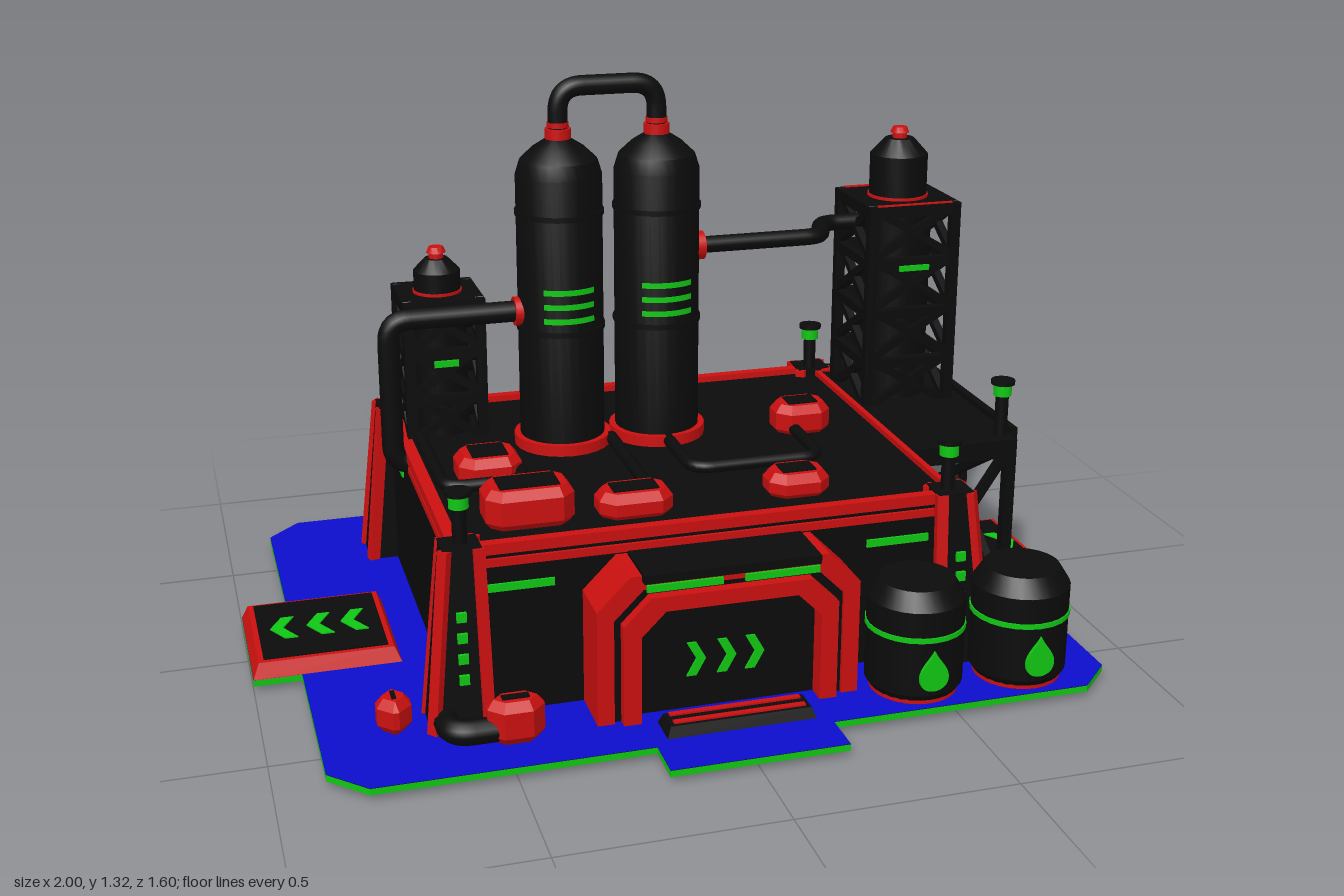
import * as THREE from 'three';
import { toCreasedNormals } from 'three/addons/utils/BufferGeometryUtils.js';

const material = (name, color) => {
  const m = new THREE.MeshStandardMaterial({ color });
  m.name = name;
  return m;
};

export function createModel() {
  const root = new THREE.Group();
  root.name = 'refinery';
  const black = material('black', 0x0b0b0b), red = material('red', 0xcc1010);
  const green = material('green', 0x10c814), blue = material('blue', 0x0c0ccc);
  const V = (x, y, z) => new THREE.Vector3(x, y, z);

  const add = (name, geo, mat, x = 0, y = 0, z = 0, parent = root) => {
    const m = new THREE.Mesh(geo, mat);
    m.name = name;
    m.position.set(x, y, z);
    parent.add(m);
    return m;
  };
  const box = (name, mat, w, h, d, x, y, z, p) => add(name, new THREE.BoxGeometry(w, h, d), mat, x, y, z, p);
  const cyl = (name, mat, r, h, x, y, z) => add(name, new THREE.CylinderGeometry(r, r, h, 24), mat, x, y, z);
  // Box whose top is drawn in by b and shifted sideways
  const taper = (w, h, d, b, sx = 0, sz = 0) => {
    const g = new THREE.BoxGeometry(w, h, d), p = g.attributes.position;
    for (let i = 0; i < p.count; i++) if (p.getY(i) > 0) {
      p.setX(i, p.getX(i) - Math.sign(p.getX(i)) * b + sx);
      p.setZ(i, p.getZ(i) - Math.sign(p.getZ(i)) * b + sz);
    }
    g.computeVertexNormals();
    return g;
  };
  const beam = (name, mat, a, b, t) => {
    const m = box(name, mat, t, t, a.distanceTo(b), 0, 0, 0);
    m.position.copy(a).add(b).multiplyScalar(0.5);
    m.lookAt(b);
    return m;
  };
  // Round pipe through points with rounded bends
  const pipe = (name, pts, r, bend = 0.05) => {
    const path = new THREE.CurvePath();
    let from = pts[0];
    for (let i = 1; i < pts.length - 1; i++) {
      const c = pts[i];
      const a = c.clone().add(pts[i - 1].clone().sub(c).setLength(bend));
      const b = c.clone().add(pts[i + 1].clone().sub(c).setLength(bend));
      path.add(new THREE.LineCurve3(from, a));
      path.add(new THREE.QuadraticBezierCurve3(a, c, b));
      from = b;
    }
    path.add(new THREE.LineCurve3(from, pts[pts.length - 1]));
    return add(name, new THREE.TubeGeometry(path, 60, r, 12), black);
  };
  const lathe = (pts, seg = 28) => toCreasedNormals(
    new THREE.LatheGeometry(pts.map(p => new THREE.Vector2(...p)), seg), 0.5);
  const polygon = pts => new THREE.Shape(pts.map(p => new THREE.Vector2(...p)));
  const extrude = (shape, depth) => new THREE.ExtrudeGeometry(shape, { depth, bevelEnabled: false });

  // Ground plate with chamfered corners and four tabs
  const ground = polygon([[-0.89, 0.62], [-0.81, 0.7], [-0.2, 0.7], [-0.2, 0.8], [0.2, 0.8], [0.2, 0.7], [0.81, 0.7], [0.89, 0.62],
    [0.89, 0.16], [1, 0.16], [1, -0.18], [0.89, -0.18], [0.89, -0.65], [0.81, -0.73], [0.14, -0.73], [0.14, -0.8],
    [-0.15, -0.8], [-0.15, -0.73], [-0.81, -0.73], [-0.89, -0.65], [-0.89, -0.18], [-1, -0.18], [-1, 0.16], [-0.89, 0.16]]
    .map(([x, z]) => [x, -z]));
  add('groundPlate', extrude(ground, 0.015).rotateX(-Math.PI / 2), [black, green], 0, 0.015, 0);
  add('groundSurface', new THREE.ShapeGeometry(ground).rotateX(-Math.PI / 2), blue, 0, 0.031, 0);

  // Landing pads with arrow marks
  const chevron = (h, w = 0.03) => extrude(polygon([[-w, -h], [0, -h], [w, 0], [0, h], [-w, h], [0, 0]]), 0.005);
  const pad = (x, z, len, wid, turn, marks) => {
    const g = new THREE.Group();
    g.name = 'accessPad';
    g.position.set(x, 0.03, z);
    g.rotation.y = turn;
    root.add(g);
    add('padRim', taper(len, 0.035, wid, 0.015), red, 0, 0.0175, 0, g);
    box('padDeck', black, len - 0.055, 0.006, wid - 0.055, 0, 0.036, 0, g);
    marks.forEach(m => add('padArrow', chevron(0.055).rotateX(-Math.PI / 2), green, m, 0.037, 0, g));
  };
  pad(-0.83, -0.01, 0.34, 0.34, Math.PI, [-0.08, 0, 0.085]);
  pad(0.83, -0.01, 0.34, 0.34, 0, [-0.08, 0.02, 0.11]);
  pad(-0.005, -0.705, 0.19, 0.29, Math.PI / 2, [-0.03, 0.035]);

  // Main hall and roof trim
  box('hall', black, 1.16, 0.39, 0.94, 0, 0.225, -0.015);
  box('trimBand', red, 1.175, 0.018, 0.955, 0, 0.39, -0.015);
  for (const z of [0.452, -0.482]) box('roofEdge', red, 1.12, 0.025, 0.025, 0, 0.423, z);
  for (const x of [-0.575, 0.577]) box('roofEdge', red, x < 0 ? 0.028 : 0.014, 0.025, 0.9, x, 0.421, -0.015);
  for (const s of [-1, 1]) {
    box('frontLight', green, 0.15, 0.018, 0.006, s * 0.437, 0.33, 0.457);
    for (const z of [-0.33, 0.33]) box('sideLight', green, 0.006, 0.018, 0.15, s * 0.582, 0.33, z);
  }

  // Corner pillars with red edges
  for (const sx of [-1, 1]) for (const sz of [-1, 1]) {
    const x = sx * 0.585, z = sz > 0 ? 0.46 : -0.495, ix = -sx * 0.018, iz = -sz * 0.014;
    add('pillar', taper(0.13, 0.41, 0.12, 0.022, ix, iz), black, x, 0.235, z);
    for (const cx of [-1, 1]) for (const cz of [-1, 1])
      beam('pillarEdge', red, V(x + cx * 0.058, 0.03, z + cz * 0.053), V(x + cx * 0.034 + ix, 0.438, z + cz * 0.031 + iz), 0.026);
    if (sz > 0) for (let i = 0; i < 4; i++)
      box('pillarLight', green, 0.022, 0.022, 0.008, x + ix * 0.5, 0.15 + i * 0.047, z + 0.054 - i * 0.0045);
  }

  // Signal lamps
  for (const [x, y, z] of [[-0.565, 0.43, 0.445], [0.56, 0.43, 0.445], [0.56, 0.43, -0.465], [0.83, 0.45, 0.155]]) {
    cyl('lampPost', black, 0.016, 0.12, x, y + 0.05, z);
    cyl('lampGlow', green, 0.022, 0.028, x, y + 0.105, z);
    cyl('lampCap', black, 0.029, 0.01, x, y + 0.125, z);
  }

  // Front gate: nested arches around a recessed door
  const arch = (w, h, c) => [[-w, 0], [-w, h - c], [-w + c, h], [w - c, h], [w, h - c], [w, 0]];
  const ring = (a, b) => polygon([...arch(...a), ...arch(...b).reverse()]);
  const A = [0.3, 0.345, 0.075], B = [0.262, 0.312, 0.066], C = [0.245, 0.297, 0.062], D = [0.205, 0.262, 0.055];
  add('gateOuter', extrude(ring(A, B), 0.13), red, 0, 0.03, 0.45);
  add('gateGroove', extrude(ring(B, C), 0.12), black, 0, 0.03, 0.45);
  add('gateInner', extrude(ring(C, D), 0.145), red, 0, 0.03, 0.45);
  add('gateDoor', extrude(polygon(arch(...D)), 0.1), black, 0, 0.03, 0.45);
  box('gateHood', black, 0.4, 0.02, 0.14, 0, 0.373, 0.53);
  for (const s of [-1, 1]) box('gateLight', green, 0.17, 0.016, 0.006, s * 0.11, 0.353, 0.601);
  for (const x of [-0.07, 0, 0.065]) add('doorArrow', chevron(0.04, 0.022), green, x, 0.15, 0.551);
  add('gateStep', taper(0.34, 0.025, 0.08, 0.01), black, 0, 0.0425, 0.635);
  for (const z of [0.615, 0.65]) box('stepStripe', red, 0.3, 0.006, 0.014, 0, 0.056, z);

  // Fuel barrels with drop marks
  const drop = new THREE.Shape();
  drop.moveTo(0, 0.055);
  drop.bezierCurveTo(0.012, 0.03, 0.034, 0.015, 0.034, -0.01);
  drop.bezierCurveTo(0.034, -0.052, -0.034, -0.052, -0.034, -0.01);
  drop.bezierCurveTo(-0.034, 0.015, -0.012, 0.03, 0, 0.055);
  for (const x of [0.43, 0.685]) {
    add('barrel', lathe([[0, 0.03], [0.09, 0.03], [0.11, 0.06], [0.11, 0.26], [0.085, 0.3], [0, 0.3]]), black, x, 0, 0.59);
    cyl('barrelBand', green, 0.113, 0.012, x, 0.195, 0.59);
    cyl('barrelFoot', red, 0.1, 0.012, x, 0.042, 0.59);
    add('barrelDrop', extrude(drop, 0.008), green, x, 0.115, 0.698);
  }

  // Chamfered hatch boxes on the roof and ground
  const hatch = (x, y, z, w, h, d) => {
    const a = w / 2 - 0.015, b = d / 2 - 0.015, c = 0.022;
    const s = polygon([[-a + c, -b], [a - c, -b], [a, -b + c], [a, b - c], [a - c, b], [-a + c, b], [-a, b - c], [-a, -b + c]]);
    const g = new THREE.ExtrudeGeometry(s, { depth: h - 0.04, bevelSize: 0.015, bevelThickness: 0.02, bevelSegments: 1 });
    add('hatch', g.translate(0, 0, 0.02).rotateX(-Math.PI / 2), red, x, y, z);
    box('hatchLid', black, w - 0.065, 0.006, d - 0.055, x, y + h, z);
  };
  hatch(-0.39, 0.415, 0.315, 0.2, 0.095, 0.13);
  hatch(-0.42, 0.4, 0.015, 0.15, 0.075, 0.135);
  hatch(-0.15, 0.41, 0.33, 0.17, 0.068, 0.11);
  hatch(0.24, 0.41, 0.315, 0.145, 0.065, 0.11);
  hatch(0.39, 0.41, -0.075, 0.14, 0.082, 0.11);
  hatch(-0.725, 0.03, 0.465, 0.075, 0.08, 0.09);
  hatch(-0.48, 0.03, 0.58, 0.125, 0.1, 0.075);
  pipe('groundPipe', [V(-0.62, 0.06, 0.46), V(-0.62, 0.06, 0.58), V(-0.5, 0.06, 0.58)], 0.028);

  // Roof pipes
  pipe('roofPipe', [V(0.36, 0.435, -0.03), V(0.36, 0.435, 0.16), V(0.04, 0.435, 0.16), V(0.04, 0.435, -0.1)], 0.015);
  pipe('roofPipe', [V(-0.09, 0.435, -0.1), V(-0.09, 0.435, 0.28)], 0.015);
  pipe('roofPipe', [V(-0.54, 0.435, -0.2), V(-0.54, 0.435, 0.12), V(-0.35, 0.435, 0.12), V(-0.35, 0.435, 0.01)], 0.015);
  box('pipeClamp', red, 0.05, 0.03, 0.02, -0.09, 0.43, 0.24);

  // Twin distillation columns joined by an overhead pipe
  const cz = -0.15;
  for (const x of [-0.2, 0.04]) {
    add('column', lathe([[0.103, 0.4], [0.103, 1.09], [0.092, 1.125], [0.06, 1.155], [0.028, 1.175], [0, 1.175]]), black, x, 0, cz);
    cyl('columnFoot', red, 0.118, 0.03, x, 0.432, cz);
    for (const y of [0.72, 1.0]) cyl('columnBand', black, 0.107, 0.012, x, y, cz);
    for (const y of [0.755, 0.79, 0.825])
      add('columnLight', new THREE.CylinderGeometry(0.108, 0.108, 0.014, 12, 1, true, -0.6, 1.2), green, x, y, cz);
    cyl('columnCollar', red, 0.031, 0.025, x, 1.185, cz);
    cyl('columnCollar', red, 0.026, 0.012, x, 1.206, cz);
  }
  pipe('overheadPipe', [V(-0.2, 1.17, cz), V(-0.2, 1.295, cz), V(0.04, 1.295, cz), V(0.04, 1.17, cz)], 0.024, 0.06);
  pipe('leftPipe', [V(-0.28, 0.76, cz), V(-0.618, 0.76, cz), V(-0.618, 0.4, cz), V(-0.56, 0.4, cz)], 0.026);
  pipe('rightPipe', [V(0.12, 0.89, cz), V(0.47, 0.89, cz), V(0.5, 0.89, -0.27), V(0.68, 0.89, -0.27)], 0.021);
  for (const [x, y] of [[-0.305, 0.76], [0.147, 0.89]])
    cyl('pipeFlange', red, 0.035, 0.02, x, y, cz).rotation.z = Math.PI / 2;

  // Braced frame of four posts with crossed struts
  const frame = (name, x, z, w, d, y0, y1, levels, t) => {
    const c = [[-1, -1], [1, -1], [1, 1], [-1, 1]].map(([a, b]) => [x + a * (w - t) / 2, z + b * (d - t) / 2]);
    const h = (y1 - y0) / levels;
    c.forEach(([ax, az], i) => {
      const [bx, bz] = c[(i + 1) % 4];
      beam(name + 'Post', black, V(ax, y0, az), V(ax, y1, az), t);
      for (let k = 0; k < levels; k++) {
        const lo = y0 + k * h, hi = lo + h;
        beam(name + 'Rail', black, V(ax, hi - t / 2, az), V(bx, hi - t / 2, bz), t);
        beam(name + 'Brace', black, V(ax, lo, az), V(bx, hi, bz), t * 0.8);
        beam(name + 'Brace', black, V(ax, hi, az), V(bx, lo, bz), t * 0.8);
      }
    });
  };
  // Tank inside a frame, with a domed head
  const tower = (name, x, z, w, y0, y1, r, shoulder, top, levels) => {
    frame(name, x, z, w, w, y0, y1, levels, 0.024);
    add(name + 'Tank', lathe([[r * 1.2, y0], [r * 1.2, y1], [r, y1], [r, shoulder], [r * 0.5, top], [0, top]]), black, x, 0, z);
    box(name + 'Top', black, w, 0.012, w, x, y1, z);
    cyl(name + 'Ring', red, r * 1.06, 0.01, x, y1 + 0.008, z);
    add(name + 'Cap', lathe([[0.018, top], [0.018, top + 0.012], [0.024, top + 0.014], [0.018, top + 0.028], [0, top + 0.028]], 12), red, x, 0, z);
  };
  tower('smallTower', -0.47, -0.32, 0.2, 0.42, 0.77, 0.057, 0.83, 0.86, 3);
  tower('tallTower', 0.715, -0.27, 0.245, 0.42, 0.945, 0.073, 1.06, 1.1, 4);
  box('smallTowerLight', green, 0.06, 0.016, 0.006, -0.47, 0.62, -0.217);
  box('tallTowerLight', green, 0.08, 0.014, 0.006, 0.715, 0.79, -0.145);
  for (const s of [-1, 1]) box('tallTowerEdge', red, 0.2, 0.008, 0.01, 0.715, 0.95, -0.27 + s * 0.115);

  // Side scaffold with deck
  box('scaffoldFoot', black, 0.29, 0.03, 0.68, 0.715, 0.015, -0.16);
  box('scaffoldDeck', black, 0.28, 0.03, 0.68, 0.725, 0.415, -0.16);
  frame('scaffold', 0.725, -0.16, 0.28, 0.68, 0.02, 0.41, 1, 0.026);
  for (const z of [-0.46, -0.16, 0.11]) beam('outerPost', black, V(0.886, 0.02, z), V(0.886, 0.435, z), 0.018);
  beam('outerRail', black, V(0.886, 0.427, -0.47), V(0.886, 0.427, 0.12), 0.018);

  // Rear vent housing with three fans
  add('ventFrame', taper(0.51, 0.19, 0.09, 0.015), red, 0, 0.13, -0.53);
  box('ventPanel', black, 0.46, 0.15, 0.03, 0, 0.13, -0.57);
  for (const x of [-0.155, 0, 0.155]) {
    add('fanRing', new THREE.TorusGeometry(0.06, 0.008, 6, 24), green, x, 0.13, -0.585);
    for (let i = 0; i < 2; i++)
      box('fanBlade', green, 0.12, 0.014, 0.008, x, 0.13, -0.586).rotation.z = Math.PI / 4 + i * Math.PI / 2;
    cyl('fanHub', black, 0.02, 0.014, x, 0.13, -0.587).rotation.x = Math.PI / 2;
  }

  return root;
}
